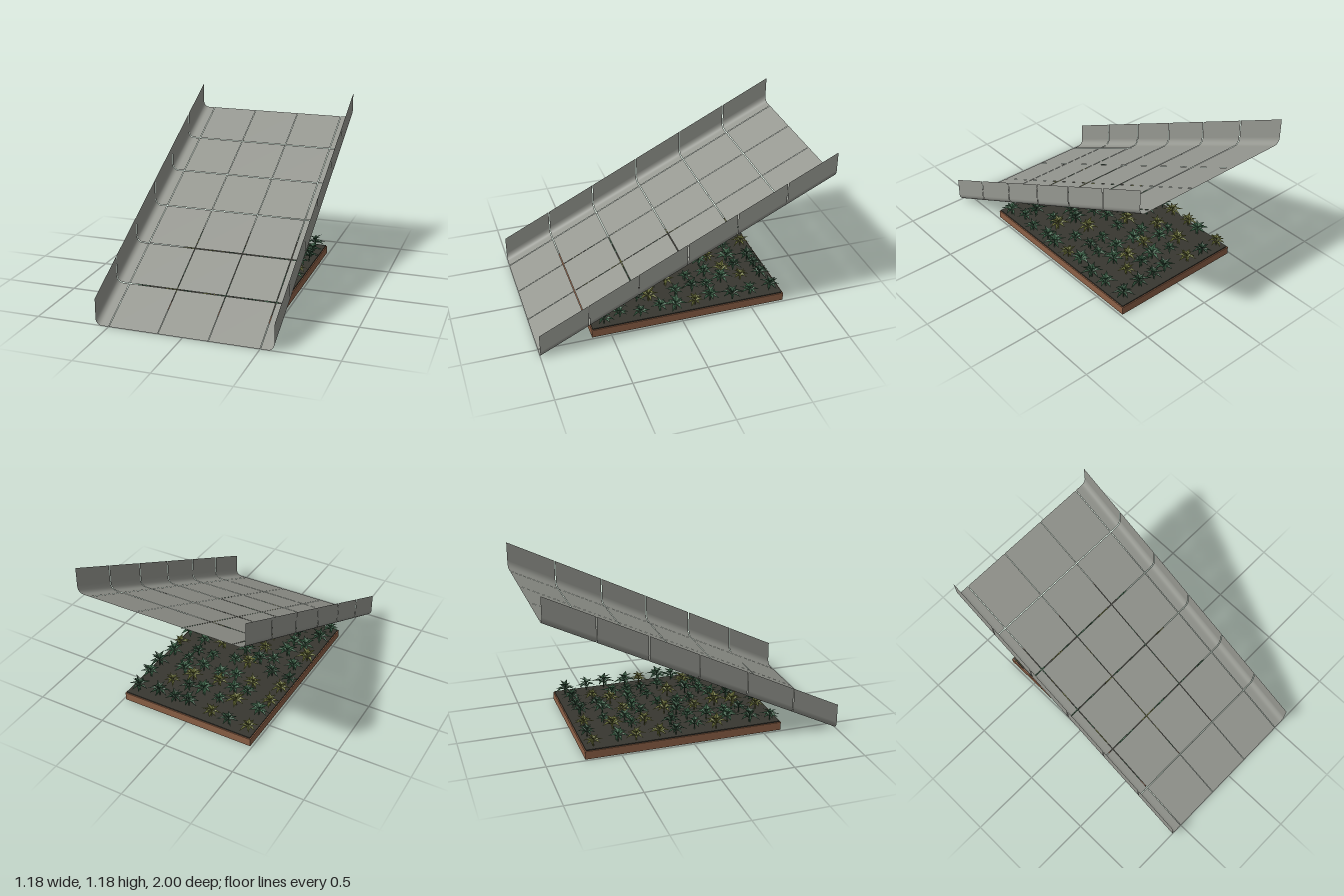
import * as THREE from 'three';
import { mergeGeometries } from 'three/addons/utils/BufferGeometryUtils.js';

const mat = (name, color, side = THREE.FrontSide) => {
  const m = new THREE.MeshStandardMaterial({ color, side });
  m.name = name;
  return m;
};

// Small seeded random generator
function makeRandom(seed) {
  return () => {
    seed = (seed * 1664525 + 1013904223) % 4294967296;
    return seed / 4294967296;
  };
}

// Sheet swept down the slope: profile of [x, height], between two z values
function slopedSheet(profile, z0, z1) {
  const pos = [], index = [];
  for (const [x, h] of profile) {
    for (const z of [z0, z1]) pos.push(x, h + (1 - z) / 2, z);
  }
  for (let i = 0; i < profile.length - 1; i++) {
    const a = i * 2;
    index.push(a, a + 1, a + 2, a + 1, a + 3, a + 2);
  }
  const g = new THREE.BufferGeometry();
  g.setAttribute('position', new THREE.Float32BufferAttribute(pos, 3));
  g.setIndex(index);
  g.computeVertexNormals();
  return g;
}

// Pointed leaf along +z with a crease down the middle and a drooping tip
function leafGeometry(length, width) {
  const base = [0, 0, 0], tip = [0, -0.12 * length, length];
  const mid = [0, 0.08 * length, 0.5 * length];
  const left = [-width, 0.2 * length, 0.45 * length];
  const right = [width, 0.2 * length, 0.45 * length];
  const faces = [base, mid, left, left, mid, tip, base, right, mid, mid, right, tip];
  const g = new THREE.BufferGeometry();
  g.setAttribute('position', new THREE.Float32BufferAttribute(faces.flat(), 3));
  g.computeVertexNormals();
  return g;
}

// One plant: a thin stem and two tiers of leaves
function plantGeometry(rand, scale) {
  const stem = new THREE.CylinderGeometry(0.003, 0.004, 0.05, 5).toNonIndexed();
  stem.deleteAttribute('uv');
  stem.translate(0, 0.025, 0);
  const parts = [stem];
  const tiers = [
    { count: 7, y: 0.035, tilt: -0.12, length: 0.075 },
    { count: 5, y: 0.048, tilt: -0.7, length: 0.06 },
  ];
  for (const t of tiers) {
    const turn = rand() * 6.28;
    for (let i = 0; i < t.count; i++) {
      const leaf = leafGeometry(t.length * (0.85 + rand() * 0.3), 0.013);
      leaf.rotateX(t.tilt - rand() * 0.25);
      leaf.rotateY(turn + (i / t.count) * Math.PI * 2 + (rand() - 0.5) * 0.4);
      leaf.translate(0, t.y, 0);
      parts.push(leaf);
    }
  }
  return mergeGeometries(parts).scale(scale, scale, scale);
}

export function createModel() {
  const model = new THREE.Group();
  model.name = 'slopedPanelOverPlanter';
  const panelGrey = mat('panelGrey', 0x969891, THREE.DoubleSide);
  const wood = mat('woodBrown', 0x8c6046);
  const soil = mat('soilDark', 0x383730);
  const dark = mat('fixingDark', 0x2c2d2c);
  const greens = [
    mat('leafGreen', 0x3b6247, THREE.DoubleSide),
    mat('leafDeepGreen', 0x2f4f39, THREE.DoubleSide),
    mat('leafOlive', 0x6b7038, THREE.DoubleSide),
  ];
  const add = (parent, name, geometry, material, x = 0, y = 0, z = 0) => {
    const m = new THREE.Mesh(geometry, material);
    m.name = name;
    m.position.set(x, y, z);
    parent.add(m);
    return m;
  };

  // Sloped trough: six rows of three floor panels with an upturned side each
  const trough = new THREE.Group();
  trough.name = 'trough';
  model.add(trough);
  const rows = 6, gap = 0.0025;
  const side = [[0.5 + gap, 0], [0.53, 0], [0.548, 0]];
  for (let i = 1; i <= 6; i++) {
    const a = (i / 6) * Math.PI / 2;
    side.push([0.55 + 0.04 * Math.sin(a), 0.045 * (1 - Math.cos(a))]);
  }
  side.push([0.59, 0.05], [0.59, 0.18]);
  const mirrored = side.map(([x, h]) => [-x, h]).reverse();
  for (let r = 0; r < rows; r++) {
    const z0 = -1 + (2 * r) / rows + (r > 0 ? gap : 0);
    const z1 = -1 + (2 * (r + 1)) / rows - (r < rows - 1 ? gap : 0);
    for (let c = 0; c < 3; c++) {
      const x0 = -0.5 + c / 3 + gap / 2, x1 = -0.5 + (c + 1) / 3 - gap / 2;
      add(trough, 'floorPanel', slopedSheet([[x0, 0], [x1, 0]], z0, z1), panelGrey);
    }
    add(trough, 'leftSidePanel', slopedSheet(side, z0, z1), panelGrey);
    add(trough, 'rightSidePanel', slopedSheet(mirrored, z0, z1), panelGrey);
  }

  // Small fixings on the underside
  for (const s of [-1, 1]) {
    const bolt = add(trough, 'fixing', new THREE.CylinderGeometry(0.014, 0.014, 0.012, 12),
      dark, s * 0.42, 0.638, -0.29);
    bolt.rotation.x = Math.atan(0.5);
  }

  // Planter tray
  const planter = new THREE.Group();
  planter.name = 'planter';
  planter.position.z = -0.055;
  model.add(planter);
  add(planter, 'tray', new THREE.BoxGeometry(0.97, 0.056, 1.37), wood, 0, 0.028, 0);
  add(planter, 'soil', new THREE.BoxGeometry(0.955, 0.008, 1.355), soil, 0, 0.06, 0);

  // Plants on a jittered grid, merged by leaf colour
  const rand = makeRandom(11);
  const batches = greens.map(() => []);
  const across = 7, along = 10;
  for (let i = 0; i < across; i++) {
    for (let j = 0; j < along; j++) {
      const g = plantGeometry(rand, 0.85 + rand() * 0.3);
      const x = ((i + 0.5) / across - 0.5) * 0.96 + (rand() - 0.5) * 0.07;
      const z = ((j + 0.5) / along - 0.5) * 1.34 + (rand() - 0.5) * 0.07;
      g.translate(x, 0.062, z);
      const pick = rand();
      batches[pick < 0.45 ? 0 : pick < 0.75 ? 1 : 2].push(g);
    }
  }
  batches.forEach((b, i) => add(planter, 'plants', mergeGeometries(b), greens[i]));

  return model;
}
